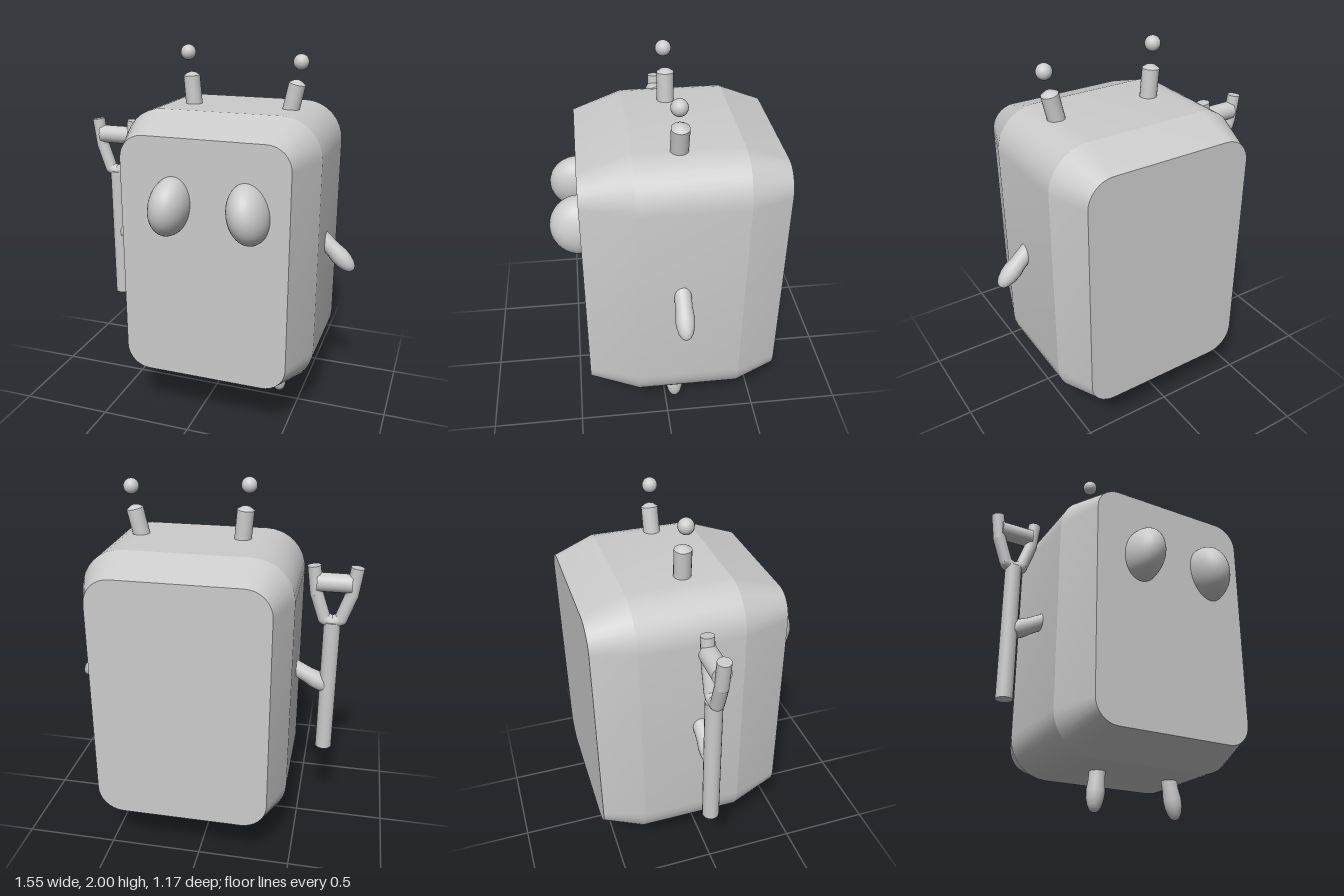
import * as THREE from 'three';
import { toCreasedNormals } from 'three/addons/utils/BufferGeometryUtils.js';

const MID_Z = -0.055;
const UP = new THREE.Vector3(0, 1, 0);
const material = new THREE.MeshStandardMaterial({ color: 0xcccccc });

function add(parent, name, geometry, x = 0, y = 0, z = 0) {
  const mesh = new THREE.Mesh(geometry, material);
  mesh.name = name;
  mesh.position.set(x, y, z);
  parent.add(mesh);
  return mesh;
}

// Aims a geometry's +y axis from one point towards another, in the middle plane
function aim(mesh, from, to) {
  const dir = new THREE.Vector3(to[0] - from[0], to[1] - from[1], 0).normalize();
  mesh.quaternion.setFromUnitVectors(UP, dir);
  return mesh;
}

const span = (a, b) => Math.hypot(b[0] - a[0], b[1] - a[1]);

function rod(parent, name, a, b, r) {
  const geo = new THREE.CylinderGeometry(r, r, span(a, b), 20);
  aim(add(parent, name, geo, (a[0] + b[0]) / 2, (a[1] + b[1]) / 2, MID_Z), a, b);
}

// Turned solid running from a to b
function turned(parent, name, a, b, profile) {
  const points = profile.map(([r, h]) => new THREE.Vector2(r, h));
  const geo = toCreasedNormals(new THREE.LatheGeometry(points, 20), 0.6);
  aim(add(parent, name, geo, a[0], a[1], MID_Z), a, b);
}

// Stem with a slightly swollen, rounded tip
function limb(parent, name, a, b) {
  const L = span(a, b);
  turned(parent, name, a, b, [
    [0, 0], [0.043, 0], [0.044, L - 0.16], [0.05, L - 0.11], [0.047, L - 0.07],
    [0.038, L - 0.035], [0.024, L - 0.011], [0.012, L - 0.003], [0, L],
  ]);
}

// Rounded rectangle as a counter-clockwise ring
function ring(inset, z) {
  const w = 0.535 - inset, h = 0.74 - inset, r = 0.215 - inset, steps = 8;
  const points = [];
  [[1, 1], [-1, 1], [-1, -1], [1, -1]].forEach(([sx, sy], corner) => {
    for (let i = 0; i <= steps; i++) {
      const t = (corner + i / steps) * Math.PI / 2;
      points.push([sx * (w - r) + r * Math.cos(t), sy * (h - r) + r * Math.sin(t), z]);
    }
  });
  return points;
}

// Box body with chamfered front and back rims
function bodyGeometry() {
  const rings = [ring(0.09, 0.43), ring(0, 0.17), ring(0, -0.37), ring(0.08, -0.585)];
  const n = rings[0].length;
  const positions = [];
  const tri = (...corners) => corners.forEach((p) => positions.push(...p));
  for (let i = 0; i < n; i++) {
    const j = (i + 1) % n;
    for (let k = 0; k < 3; k++) {
      const front = rings[k], back = rings[k + 1];
      tri(front[i], back[i], back[j]);
      tri(front[i], back[j], front[j]);
    }
    tri([0, 0, 0.43], rings[0][i], rings[0][j]);
    tri([0, 0, -0.585], rings[3][j], rings[3][i]);
  }
  const geo = new THREE.BufferGeometry();
  geo.setAttribute('position', new THREE.Float32BufferAttribute(positions, 3));
  return toCreasedNormals(geo, 0.25);
}

export function createModel() {
  const model = new THREE.Group();
  model.name = 'boxCreature';

  add(model, 'body', bodyGeometry(), 0.075, 0.95, 0);

  // Eyes, leaning towards each other at the top
  for (const [name, x, tilt] of [['rightEye', -0.1, -0.17], ['leftEye', 0.312, 0.2]]) {
    const eye = add(model, name, new THREE.SphereGeometry(1, 32, 24), x, 1.25, 0.43);
    eye.scale.set(0.106, 0.156, 0.152);
    eye.rotation.z = tilt;
  }

  // Arms and legs
  limb(model, 'leftArm', [0.55, 1.035], [0.765, 0.83]);
  limb(model, 'rightArm', [-0.42, 1.0], [-0.66, 0.87]);
  limb(model, 'rightLeg', [-0.095, 0.25], [-0.115, 0.0]);
  limb(model, 'leftLeg', [0.337, 0.25], [0.38, 0.005]);

  // Antennae with floating balls
  const antennae = [
    ['rightAntenna', [-0.147, 1.64], [-0.166, 1.86], [-0.178, 1.96]],
    ['leftAntenna', [0.378, 1.64], [0.423, 1.84], [0.436, 1.93]],
  ];
  for (const [name, base, tip, ball] of antennae) {
    const L = span(base, tip);
    turned(model, name, base, tip, [[0, 0], [0.045, 0], [0.045, L - 0.022], [0.022, L - 0.006], [0, L]]);
    add(model, name + 'Ball', new THREE.SphereGeometry(0.041, 24, 16), ball[0], ball[1], MID_Z + 0.01);
  }

  // Forked staff
  const staff = new THREE.Group();
  staff.name = 'staff';
  model.add(staff);
  const cx = -0.632;
  rod(staff, 'shaft', [cx, 0.51], [cx, 1.27], 0.045);
  for (const [side, s] of [['right', -1], ['left', 1]]) {
    const path = [[0, 1.265], [0.043, 1.285], [0.09, 1.42], [0.11, 1.57]].map(([x, y]) => [cx + s * x, y]);
    for (let i = 0; i < 3; i++) {
      rod(staff, side + 'Prong', path[i], path[i + 1], 0.035);
      if (i) add(staff, side + 'ProngJoint', new THREE.SphereGeometry(0.035, 20, 12), path[i][0], path[i][1], MID_Z);
    }
  }
  rod(staff, 'crossbar', [cx - 0.09, 1.483], [cx + 0.09, 1.483], 0.05);

  return model;
}
